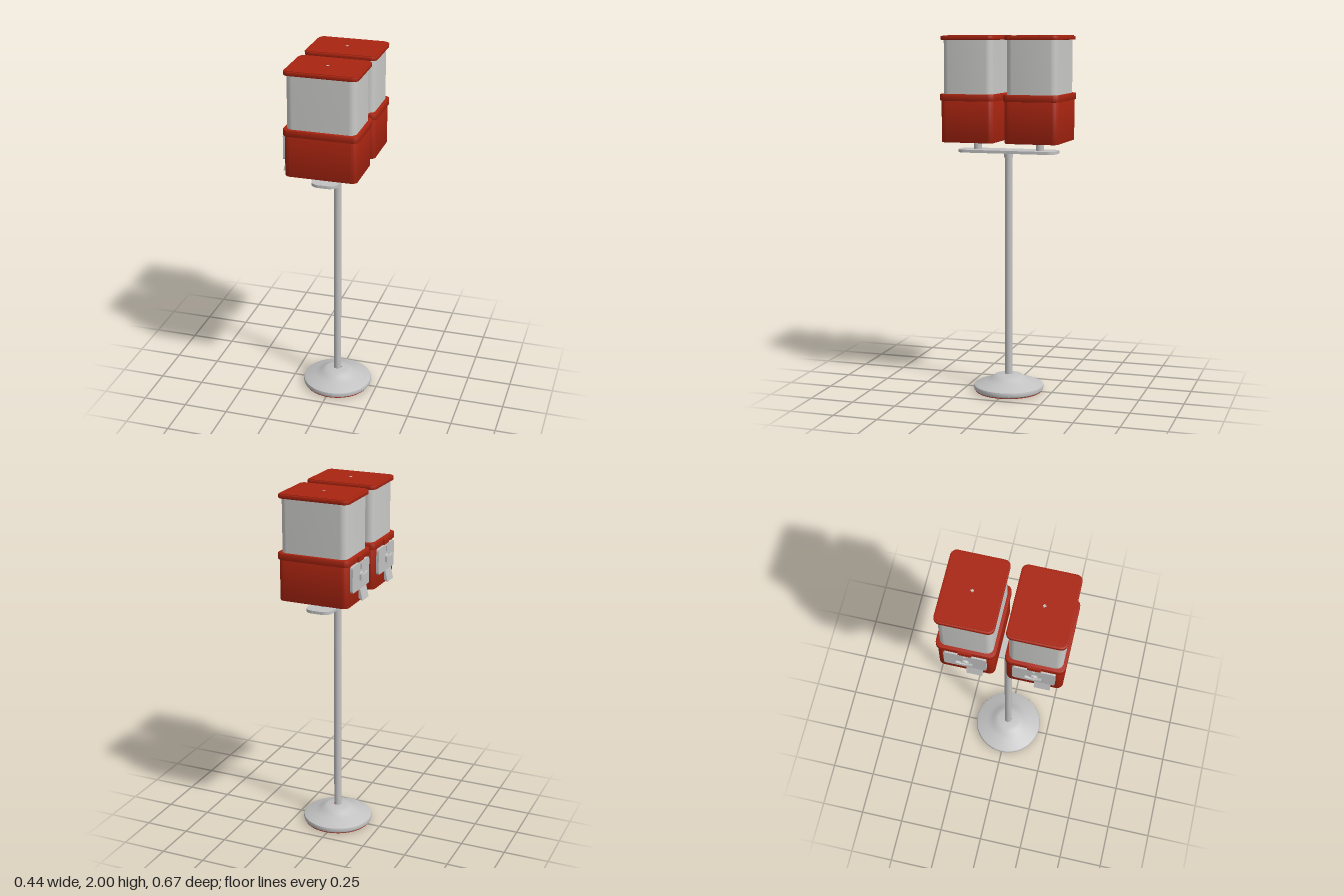
import * as THREE from 'three';
import { toCreasedNormals } from 'three/addons/utils/BufferGeometryUtils.js';

const CX = 0.014; // shared vertical axis of pole, plate and dispensers

const makeMat = (name, color) => {
  const m = new THREE.MeshStandardMaterial({ color });
  m.name = name;
  return m;
};

function add(parent, name, geometry, material, x = 0, y = 0, z = 0) {
  const mesh = new THREE.Mesh(geometry, material);
  mesh.name = name;
  mesh.position.set(x, y, z);
  parent.add(mesh);
  return mesh;
}

function roundedRect(w, d, r) {
  const x = w / 2, y = d / 2, s = new THREE.Shape();
  s.absarc(x - r, y - r, r, 0, Math.PI / 2);
  s.absarc(r - x, y - r, r, Math.PI / 2, Math.PI);
  s.absarc(r - x, r - y, r, Math.PI, Math.PI * 1.5);
  s.absarc(x - r, r - y, r, Math.PI * 1.5, Math.PI * 2);
  s.closePath();
  return s;
}

// Upright rounded block standing on y = 0, with softened top and bottom rims
function block(w, d, h, r, bevel = 0) {
  const g = new THREE.ExtrudeGeometry(roundedRect(w - 2 * bevel, d - 2 * bevel, r - bevel), {
    depth: h - 2 * bevel, bevelEnabled: bevel > 0, bevelSize: bevel,
    bevelThickness: bevel, bevelSegments: 2, curveSegments: 6,
  });
  g.translate(0, 0, bevel);
  g.rotateX(-Math.PI / 2);
  return toCreasedNormals(g, 0.6);
}

// Flat outline in (z, y), thickened outwards along -x
function sidePlate(points, thickness) {
  const shape = new THREE.Shape(points.map(([z, y]) => new THREE.Vector2(z, y)));
  const g = new THREE.ExtrudeGeometry(shape, { depth: thickness, bevelEnabled: false });
  return g.rotateY(-Math.PI / 2);
}

const lathe = (points) => toCreasedNormals(
  new THREE.LatheGeometry(points.map(([r, y]) => new THREE.Vector2(r, y)), 40), 0.6);

function makeDispenser(red, metal, clear) {
  const g = new THREE.Group();
  g.name = 'dispenser';

  // Housing, rim, hopper and lid
  add(g, 'housing', block(0.396, 0.3, 0.235, 0.032, 0.005), red, 0, 1.42);
  add(g, 'housingRim', block(0.412, 0.314, 0.037, 0.036, 0.004), red, 0, 1.646);
  add(g, 'hopper', block(0.376, 0.28, 0.302, 0.036), clear, 0, 1.678);
  add(g, 'lid', block(0.402, 0.304, 0.021, 0.034, 0.003), red, 0, 1.974);
  add(g, 'lidPanel', block(0.386, 0.288, 0.004, 0.028), red, 0, 1.994);

  // Lid screw with a cross head
  add(g, 'lidScrew', new THREE.CylinderGeometry(0.011, 0.011, 0.002, 16), red, 0, 1.998);
  for (const [w, d] of [[0.018, 0.007], [0.007, 0.018]])
    add(g, 'screwCross', new THREE.BoxGeometry(w, 0.002, d), metal, 0, 1.999);

  // Coin mechanism on the -x side
  const coin = new THREE.Group();
  coin.name = 'coinMechanism';
  coin.position.set(-0.198, 1.57, 0);
  g.add(coin);
  const plate = new THREE.ExtrudeGeometry(roundedRect(0.224, 0.145, 0.014), {
    depth: 0.015, bevelEnabled: false, curveSegments: 5 });
  add(coin, 'coinPlate', toCreasedNormals(plate.rotateY(-Math.PI / 2), 0.6), metal);
  add(coin, 'rimTab', new THREE.BoxGeometry(0.016, 0.03, 0.07), red, -0.008, 0.092, 0);
  add(coin, 'coinSlot', new THREE.BoxGeometry(0.008, 0.03, 0.012), metal, -0.017, 0.05, 0);
  add(coin, 'knob', new THREE.CylinderGeometry(0.02, 0.022, 0.014, 24).rotateZ(Math.PI / 2),
    metal, -0.02);
  add(coin, 'handle', sidePlate([[-0.043, -0.016], [-0.012, -0.007], [0.012, -0.007],
    [0.043, -0.016], [0.043, 0.016], [0.012, 0.009], [-0.012, 0.009], [-0.043, 0.016]], 0.012),
    metal, -0.024);

  // Sloping chute below the plate
  const side = new THREE.Shape([[0.008, 0], [-0.012, 0], [-0.03, -0.078], [-0.022, -0.078],
    [0.008, -0.05]].map(([x, y]) => new THREE.Vector2(x, y)));
  add(coin, 'chute', new THREE.ExtrudeGeometry(side, { depth: 0.085, bevelEnabled: false }),
    metal, 0.008, -0.065, 0.005);

  // Mount joining the dispenser to the carrier plate
  add(g, 'mountFlange', new THREE.CylinderGeometry(0.04, 0.04, 0.016, 24), metal, 0, 1.413);
  add(g, 'mountNeck', new THREE.CylinderGeometry(0.022, 0.022, 0.04, 24), metal, 0, 1.387);
  return g;
}

export function createModel() {
  const red = makeMat('red enamel', 0xa82410);
  const metal = makeMat('grey metal', 0xc2c2c2);
  const clear = makeMat('pale hopper', 0xcacac8);
  const model = new THREE.Group();
  model.name = 'twinVendingStand';

  // Round foot with a red underside
  add(model, 'foot', lathe([[0.188, 0.003], [0.196, 0.01], [0.199, 0.024], [0.196, 0.034],
    [0.18, 0.042], [0.13, 0.058], [0.095, 0.075], [0.08, 0.087], [0.06, 0.093],
    [0.022, 0.096]]), metal, CX);
  add(model, 'footUnderside', new THREE.CylinderGeometry(0.189, 0.189, 0.006, 40),
    red, CX, 0.003);

  // Pole, collar and carrier plate
  add(model, 'pole', new THREE.CylinderGeometry(0.021, 0.021, 1.27, 24), metal, CX, 0.715);
  add(model, 'poleCollar', new THREE.CylinderGeometry(0.025, 0.025, 0.028, 24),
    metal, CX, 1.342);
  add(model, 'carrierPlate', block(0.15, 0.564, 0.016, 0.05), metal, CX, 1.355);

  // Two identical dispensers, both facing -x
  for (const z of [-0.18, 0.18]) {
    const d = makeDispenser(red, metal, clear);
    d.position.set(CX, 0, z);
    model.add(d);
  }
  return model;
}
